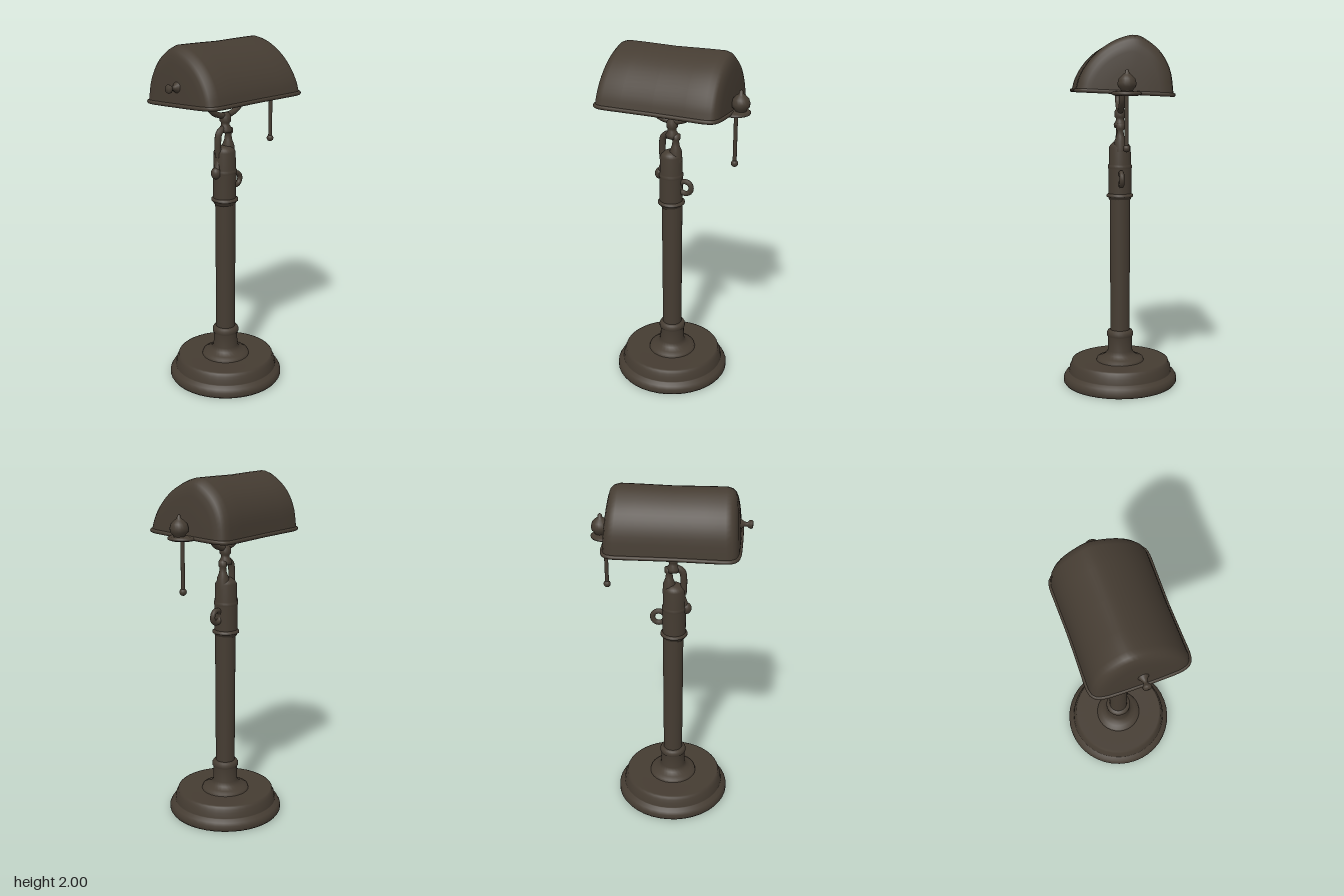
import * as THREE from 'three';

const bronze = new THREE.MeshStandardMaterial({ color: 0x453c32, side: THREE.DoubleSide });
bronze.name = 'dark bronze';
const AXIS = -0.015; // x of the column and base

const v3 = (x, y, z = 0) => new THREE.Vector3(x, y, z);

function add(parent, name, geometry, x = 0, y = 0, z = 0) {
  const mesh = new THREE.Mesh(geometry, bronze);
  mesh.name = name;
  mesh.position.set(x, y, z);
  parent.add(mesh);
  return mesh;
}

// Turned part from [radius, height] pairs; each segment keeps its own crisp edge
function turned(pairs, sides = 28) {
  return new THREE.LatheGeometry(pairs.map(([r, y]) => new THREE.Vector2(r, y)), sides);
}

function tube(points, radius, closed = false, steps = 40) {
  return new THREE.TubeGeometry(new THREE.CatmullRomCurve3(points, closed), steps, radius, 10, closed);
}

// Shade cross-section: (z, y), from the front lip over the crown to the back lip
const arch = new THREE.CatmullRomCurve3([
  [0.262, 1.71], [0.243, 1.775], [0.2, 1.85], [0.127, 1.925], [0.03, 1.98], [-0.06, 1.998],
  [-0.13, 1.965], [-0.2, 1.9], [-0.245, 1.81], [-0.262, 1.685],
].map(([z, y]) => v3(0, y, z)));

// Half-length stations and the scale of the cross-section there
const ends = [[0.35, 0.001], [0.349, 0.4], [0.346, 0.7], [0.341, 0.82], [0.332, 0.91], [0.315, 0.97], [0.285, 1], [0.18, 0.997]];
const stations = [
  ...ends.map(([x, s]) => [-x, s]), [0, 0.985],
  ...ends.slice().reverse(),
];

function shadePoint([x, s], t) {
  const p = arch.getPoint(t);
  const y = 1.698 + (p.y - 1.698) * s;
  const lean = 1 + 0.05 * Math.max(0, (1.95 - y) / 0.25); // end walls splay outward
  return v3(-0.018 + x * lean * 0.985, y, p.z * s);
}

function shadeGeometry() {
  const nx = stations.length - 1, nt = 32;
  const g = new THREE.PlaneGeometry(1, 1, nx, nt);
  const pos = g.attributes.position;
  for (let j = 0; j <= nt; j++) {
    for (let i = 0; i <= nx; i++) {
      const p = shadePoint(stations[i], 1 - j / nt);
      pos.setXYZ(j * (nx + 1) + i, p.x, p.y, p.z);
    }
  }
  g.computeVertexNormals();
  return g;
}

export function createModel() {
  const lamp = new THREE.Group();
  lamp.name = 'deskLamp';

  // Stepped round base with a flared foot for the column
  add(lamp, 'base', turned([
    [0, 0], [0.325, 0], [0.333, 0.012], [0.332, 0.035], [0.322, 0.052], [0.302, 0.066],
    [0.3, 0.07], [0.296, 0.1], [0.287, 0.115], [0.283, 0.132], [0.272, 0.136], [0.2, 0.131], [0, 0.131],
  ], 40), AXIS);
  add(lamp, 'columnFoot', turned([
    [0.14, 0.13], [0.135, 0.145], [0.11, 0.152], [0.085, 0.168], [0.072, 0.19], [0.07, 0.272],
    [0.077, 0.28], [0.077, 0.298], [0.07, 0.31], [0.055, 0.315],
  ]), AXIS);

  // Column and its upper collar
  add(lamp, 'column', new THREE.CylinderGeometry(0.059, 0.056, 0.8, 28, 1, true), AXIS, 0.705);
  add(lamp, 'collar', turned([
    [0.055, 1.075], [0.064, 1.085], [0.066, 1.095], [0.077, 1.1], [0.077, 1.11], [0.066, 1.118], [0, 1.118],
  ]), AXIS - 0.005);

  // Swivel housing
  add(lamp, 'housing', turned([
    [0.066, 1.11], [0.066, 1.26], [0.069, 1.265], [0.069, 1.28], [0.064, 1.285], [0.062, 1.385],
    [0.052, 1.4], [0.035, 1.415], [0, 1.42],
  ]), AXIS - 0.006);
  add(lamp, 'swivelPost', turned([
    [0.038, 1.36], [0.034, 1.42], [0.022, 1.45], [0.018, 1.48], [0.026, 1.49], [0.026, 1.515], [0, 1.525],
  ], 18), 0.007);
  add(lamp, 'swivelArm', tube([
    v3(0.005, 1.515), v3(-0.035, 1.515), v3(-0.065, 1.495), v3(-0.074, 1.45), v3(-0.072, 1.36),
  ], 0.019), 0, 0, 0);

  // Tightening knob on one side, finger ring on the other
  const knob = add(lamp, 'tighteningKnob', new THREE.SphereGeometry(0.034, 18, 12), -0.09, 1.27);
  knob.scale.set(0.85, 1, 0.85);
  const stub = add(lamp, 'knobStem', new THREE.CylinderGeometry(0.016, 0.024, 0.08, 14), -0.072, 1.315);
  stub.rotation.z = -0.25;
  add(lamp, 'fingerRing', new THREE.TorusGeometry(0.036, 0.015, 10, 24), 0.066, 1.207);

  // Stem and U-shaped yoke
  add(lamp, 'yokeStem', turned([
    [0, 1.49], [0.034, 1.495], [0.036, 1.515], [0.024, 1.535], [0.024, 1.55], [0.032, 1.558],
    [0.032, 1.585], [0.02, 1.605], [0, 1.607],
  ], 18), AXIS);
  const u = [v3(-0.145, 1.74), v3(-0.145, 1.68)];
  for (let i = 1; i < 8; i++) {
    const a = Math.PI + (i / 8) * Math.PI;
    u.push(v3(AXIS + 0.13 * Math.cos(a), 1.68 + 0.09 * Math.sin(a)));
  }
  u.push(v3(0.115, 1.68), v3(0.115, 1.74));
  add(lamp, 'yoke', tube(u, 0.017));
  const bar = add(lamp, 'yokeCrossbar', new THREE.CylinderGeometry(0.02, 0.02, 0.68, 14), AXIS, 1.745);
  bar.rotation.z = Math.PI / 2;

  // Hollow shade with a rolled lip
  add(lamp, 'shade', shadeGeometry());
  const rim = stations.slice(1, -1);
  const lip = [
    ...rim.map((s) => shadePoint(s, 0)),
    ...rim.slice().reverse().map((s) => shadePoint(s, 1)),
  ];
  add(lamp, 'shadeLip', tube(lip, 0.011, true, 120), 0, -0.004);

  // Finial on the right end
  const finial = add(lamp, 'endFinial', turned([
    [0.034, -0.005], [0.03, 0.01], [0.014, 0.03], [0.011, 0.045], [0.022, 0.058], [0.024, 0.068], [0.018, 0.076], [0, 0.078],
  ], 18), -0.362, 1.787);
  finial.rotation.z = Math.PI / 2;

  // Switch bracket with its acorn and pull chain on the left end
  add(lamp, 'switchBracket', turned([
    [0, 1.677], [0.06, 1.677], [0.078, 1.684], [0.08, 1.692], [0.07, 1.7], [0, 1.705],
  ]), 0.354);
  add(lamp, 'switchAcorn', turned([
    [0.028, 1.695], [0.034, 1.71], [0.048, 1.725], [0.05, 1.745], [0.043, 1.768], [0.026, 1.785], [0.012, 1.795], [0.011, 1.808], [0, 1.818],
  ], 20), 0.38);
  add(lamp, 'pullChain', new THREE.CylinderGeometry(0.011, 0.011, 0.29, 12), 0.355, 1.545);
  add(lamp, 'pullBall', new THREE.SphereGeometry(0.02, 14, 10), 0.355, 1.4);

  return lamp;
}
